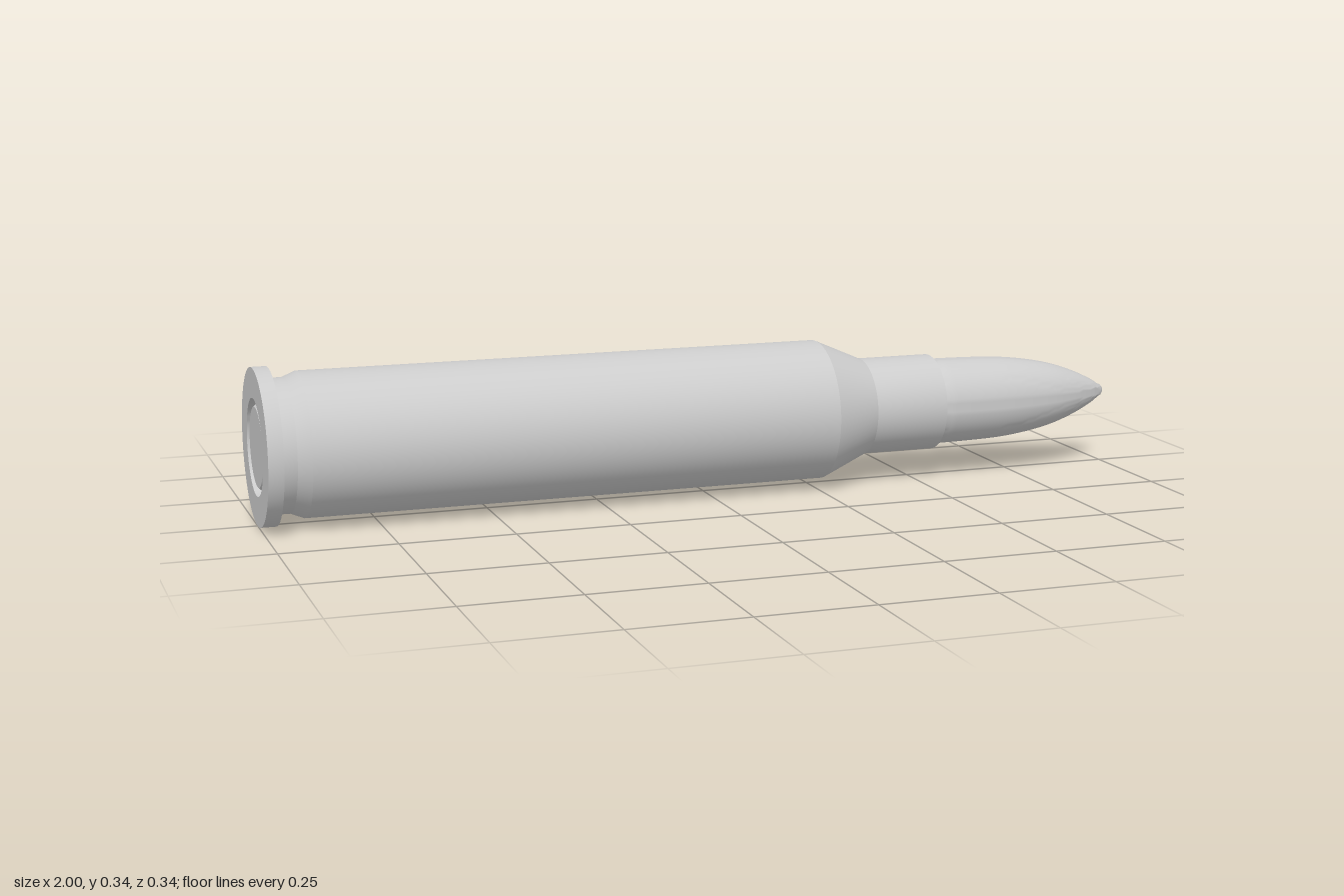
import * as THREE from 'three';
import { toCreasedNormals } from 'three/addons/utils/BufferGeometryUtils.js';

const SEGMENTS = 64;
const AXIS_HEIGHT = 0.17;

// Turns a profile of [radius, position along the length] into a named mesh
function turned(name, profile, crease) {
  const points = profile.map(([r, l]) => new THREE.Vector2(r, l));
  const geometry = toCreasedNormals(new THREE.LatheGeometry(points, SEGMENTS), crease);
  const mesh = new THREE.Mesh(geometry, new THREE.MeshStandardMaterial({ color: 0xcccccc }));
  mesh.name = name;
  return mesh;
}

export function createModel() {
  const model = new THREE.Group();
  model.name = 'cartridge';

  // Everything is turned about one axis, then laid down along x
  const turnedParts = new THREE.Group();
  turnedParts.name = 'turnedParts';
  turnedParts.rotation.z = -Math.PI / 2;
  turnedParts.position.y = AXIS_HEIGHT;
  model.add(turnedParts);

  // Case: primer pocket, rim, extractor groove, body, shoulder, neck and mouth
  const caseProfile = [
    [0, -0.975], [0.105, -0.975], [0.105, -1],
    [0.17, -1], [0.17, -0.967],
    [0.145, -0.967], [0.145, -0.935], [0.157, -0.905],
    [0.157, 0.27], [0.109, 0.38],
    [0.109, 0.55], [0.099, 0.55], [0.099, 0.5],
  ];
  turnedParts.add(turned('case', caseProfile, 0.2));

  // Primer: a flat cup with a softened edge, set in its pocket
  const primerProfile = [
    [0, -0.997], [0.086, -0.997], [0.091, -0.992], [0.091, -0.975],
  ];
  turnedParts.add(turned('primer', primerProfile, 0.5));

  // Bullet: short step at the mouth, curved ogive and blunt rounded tip
  const ogive = new THREE.SplineCurve([
    [0.098, 0.57], [0.097, 0.64], [0.094, 0.72], [0.086, 0.79],
    [0.073, 0.855], [0.053, 0.915], [0.03, 0.965], [0.016, 0.987],
  ].map(([r, l]) => new THREE.Vector2(r, l))).getPoints(28).map((p) => [p.x, p.y]);
  const bulletProfile = [
    [0.094, 0.5], [0.094, 0.56], ...ogive,
    [0.013, 0.994], [0.007, 0.999], [0, 1],
  ];
  turnedParts.add(turned('bullet', bulletProfile, 0.6));

  return model;
}
